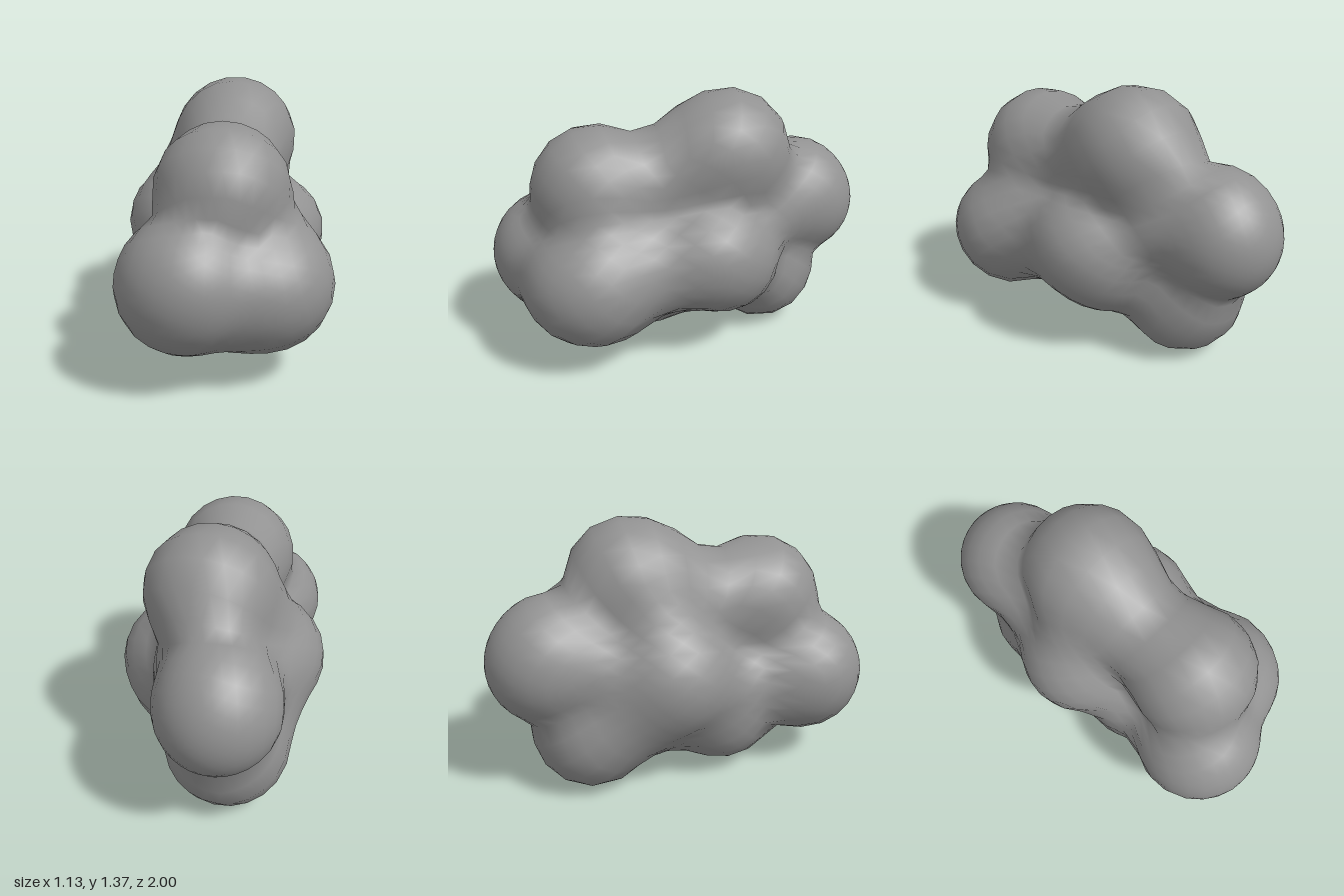
import * as THREE from 'three';
import { mergeVertices } from 'three/addons/utils/BufferGeometryUtils.js';

// Overlapping lobes: centre x, y, z and radius
const LOBES = [
  [-0.12, 0.51, 0.67, 0.33],  // front right
  [0.24, 0.47, 0.46, 0.32],   // front left
  [0.25, 0.46, 0.56, 0.27],   // front left cheek
  [0.02, 0.90, 0.45, 0.33],   // front top
  [-0.01, 1.05, -0.25, 0.33], // crown
  [-0.01, 1.02, -0.11, 0.28], // crown front
  [-0.155, 0.70, -0.70, 0.30], // back
  [-0.15, 0.78, -0.66, 0.27], // back upper
  [0.20, 0.57, -0.12, 0.29],  // left side
  [0.13, 0.51, -0.21, 0.29],  // left side lower
  [-0.25, 0.61, -0.08, 0.32], // right side
  [-0.15, 0.32, -0.48, 0.32], // back underside
  [-0.10, 0.35, 0.22, 0.31],  // front underside
  // Fillers that soften the valleys
  [0.11, 0.46, 0.58, 0.28],   // chin between the front lobes
  [0.20, 0.68, 0.40, 0.21],   // left of the front top
  [-0.08, 0.40, -0.06, 0.29], // belly
  [0.00, 0.92, 0.12, 0.26],   // saddle between the front top and the crown
  [0.18, 0.52, 0.14, 0.26],   // left waist
  [-0.18, 0.50, 0.26, 0.22],  // right waist
  [-0.21, 0.46, -0.27, 0.28], // right flank
  [-0.20, 0.66, -0.42, 0.23], // right of the nape
  [-0.15, 0.85, -0.15, 0.26], // right shoulder
  [-0.03, 0.72, -0.44, 0.25], // nape
];
const BLEND = 0.03;

// Distance to the softly joined lobes
function distance(p) {
  const d = LOBES.map(([x, y, z, r]) => Math.hypot(p.x - x, p.y - y, p.z - z) - r);
  const nearest = Math.min(...d);
  const sum = d.reduce((s, e) => s + Math.exp((nearest - e) / BLEND), 0);
  return nearest - BLEND * Math.log(sum);
}

// Shrink a faceted capsule inwards onto the lobes
function lumpyGeometry() {
  const source = new THREE.IcosahedronGeometry(1, 9);
  source.deleteAttribute('normal');
  source.deleteAttribute('uv');
  const geometry = mergeVertices(source, 1e-4);
  const pos = geometry.attributes.position;
  const dir = new THREE.Vector3(), core = new THREE.Vector3(), p = new THREE.Vector3();
  for (let i = 0; i < pos.count; i++) {
    dir.fromBufferAttribute(pos, i).normalize();
    const t = dir.z;
    core.set(-0.05 + 0.07 * t, 0.62 - 0.06 * t, 0.62 * t);
    let reach = 1.6;
    for (let step = 0; step < 80; step++) {
      p.copy(core).addScaledVector(dir, reach);
      const d = distance(p);
      if (d < 1e-4) break;
      reach -= d;
    }
    pos.setXYZ(i, p.x, p.y, p.z);
  }
  geometry.computeVertexNormals();
  return geometry;
}

export function createModel() {
  const group = new THREE.Group();
  group.name = 'lumpyBlob';
  const body = new THREE.Mesh(lumpyGeometry(), new THREE.MeshStandardMaterial({ color: 0x929292 }));
  body.name = 'lobedBody';
  group.add(body);
  return group;
}
